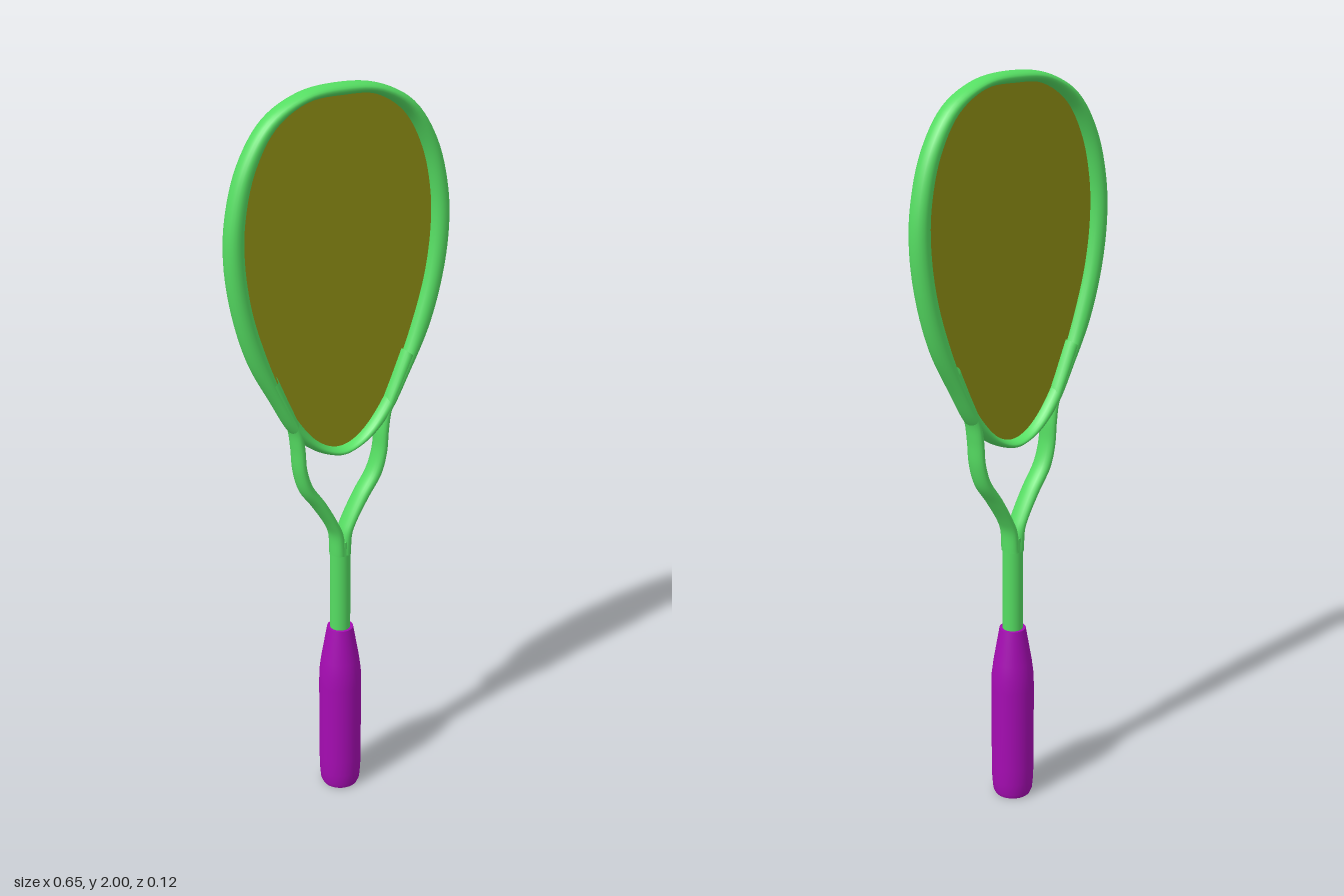
import * as THREE from 'three';

const DEPTH = 0.029; // half thickness of the frame, front to back

// Tube with an elliptical section spanning paired inner and outer rails [ix, iy, ox, oy]
function railTube(rails, closed, steps, sides = 20) {
  const curve = (a, b) => new THREE.CatmullRomCurve3(
    rails.map(r => new THREE.Vector3(r[a], r[b], 0)), closed, 'centripetal');
  const inner = curve(0, 1), outer = curve(2, 3);
  const rings = closed ? steps : steps + 1;
  const pos = [], idx = [];
  for (let i = 0; i < rings; i++) {
    const a = inner.getPoint(i / steps), b = outer.getPoint(i / steps);
    for (let j = 0; j < sides; j++) {
      const t = j / sides * Math.PI * 2;
      const p = a.clone().lerp(b, 0.5 + 0.5 * Math.cos(t));
      pos.push(p.x, p.y, DEPTH * Math.sin(t));
    }
  }
  for (let i = 0; i < steps; i++) {
    for (let j = 0; j < sides; j++) {
      const k = (j + 1) % sides, n = (i + 1) % rings;
      const a = i * sides + j, b = i * sides + k, c = n * sides + k, d = n * sides + j;
      idx.push(a, b, c, a, c, d);
    }
  }
  const g = new THREE.BufferGeometry();
  g.setAttribute('position', new THREE.Float32BufferAttribute(pos, 3));
  g.setIndex(idx);
  g.computeVertexNormals();
  return g;
}

const mirrorRail = r => [-r[0], r[1], -r[2], r[3]];

export function createModel() {
  const group = new THREE.Group();
  const green = new THREE.MeshStandardMaterial({ color: 0x55dd62, side: THREE.DoubleSide });
  const purple = new THREE.MeshStandardMaterial({ color: 0xa50cb2 });
  const olive = new THREE.MeshStandardMaterial({ color: 0x8f8f14, side: THREE.DoubleSide });
  const add = (name, geometry, material) => {
    const mesh = new THREE.Mesh(geometry, material);
    mesh.name = name;
    group.add(mesh);
    return mesh;
  };

  // Head hoop: clockwise from the top, right half mirrored to the left
  const half = [
    [0.10, 1.962, 0.11, 1.987],
    [0.185, 1.91, 0.21, 1.935],
    [0.242, 1.815, 0.28, 1.835],
    [0.27, 1.70, 0.317, 1.71],
    [0.273, 1.60, 0.324, 1.60],
    [0.257, 1.48, 0.307, 1.47],
    [0.222, 1.36, 0.266, 1.335],
    [0.175, 1.24, 0.205, 1.22],
    [0.125, 1.15, 0.15, 1.125],
    [0.075, 1.09, 0.09, 1.068],
    [0.035, 1.063, 0.038, 1.042],
  ];
  const hoop = [[0, 1.97, 0, 2.0], ...half, [0, 1.055, 0, 1.034],
    ...half.map(mirrorRail).reverse()];
  add('headFrame', railTube(hoop, true, 144), green);

  // Thin string bed, its rim buried inside the hoop
  const rim = new THREE.CatmullRomCurve3(
    hoop.map(r => new THREE.Vector3(r[0] * 0.7 + r[2] * 0.3, r[1] * 0.7 + r[3] * 0.3, 0)),
    true, 'centripetal');
  const bed = new THREE.Shape(rim.getPoints(120).map(p => new THREE.Vector2(p.x, p.y)));
  add('stringBed', new THREE.ShapeGeometry(bed), olive);

  // Throat arms, from the shaft up into the hoop
  const arm = [
    [-0.012, 0.74, 0.028, 0.74],
    [-0.003, 0.80, 0.031, 0.80],
    [0.014, 0.84, 0.046, 0.835],
    [0.05, 0.905, 0.084, 0.895],
    [0.09, 0.965, 0.122, 0.95],
    [0.108, 1.02, 0.139, 1.01],
    [0.113, 1.08, 0.145, 1.08],
    [0.122, 1.13, 0.154, 1.135],
    [0.16, 1.22, 0.188, 1.20],
    [0.19, 1.29, 0.22, 1.265],
  ];
  add('leftThroatArm', railTube(arm, false, 60), green);
  add('rightThroatArm', railTube(arm.map(mirrorRail), false, 60), green);

  // Shaft
  const shaft = add('shaft', new THREE.CylinderGeometry(0.028, 0.028, 0.30, 32), green);
  shaft.position.y = 0.63;

  // Grip: doubled points keep the end edges crisp
  const profile = [[0, 0], [0.05, 0], [0.05, 0], [0.055, 0.012], [0.058, 0.045], [0.059, 0.09],
    [0.059, 0.33], [0.058, 0.37], [0.053, 0.41], [0.036, 0.51], [0.036, 0.51], [0, 0.51]];
  add('grip', new THREE.LatheGeometry(profile.map(p => new THREE.Vector2(...p)), 40), purple);

  return group;
}
